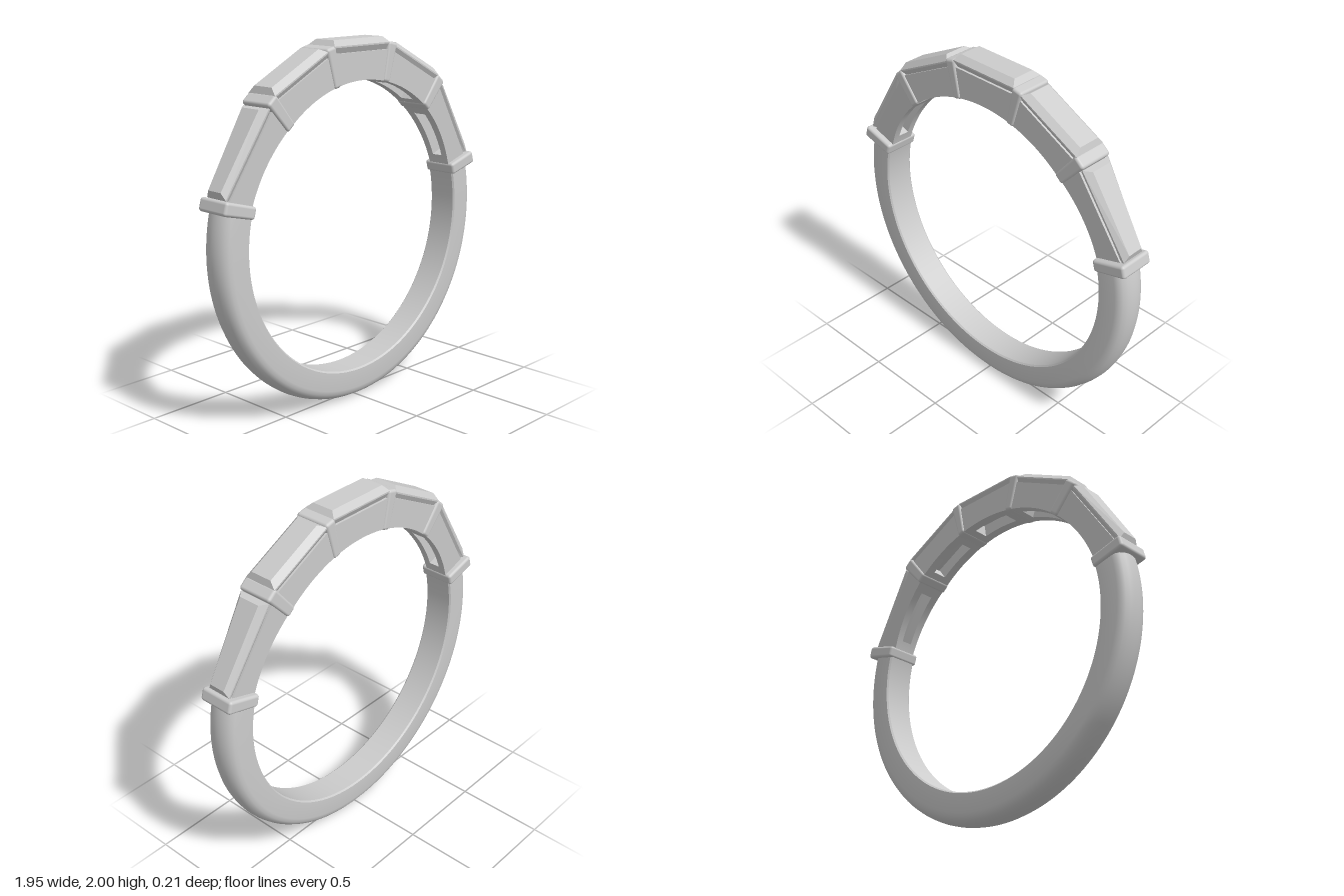
import * as THREE from 'three';
import { toCreasedNormals } from 'three/addons/utils/BufferGeometryUtils.js';
import { RoundedBoxGeometry } from 'three/addons/geometries/RoundedBoxGeometry.js';

const CENTRE = 0.977, INNER = 0.805;
const rad = THREE.MathUtils.degToRad;

// Moves every vertex by a rule
function reshape(geo, rule) {
  const p = geo.attributes.position, v = new THREE.Vector3();
  for (let i = 0; i < p.count; i++) {
    rule(v.fromBufferAttribute(p, i));
    p.setXYZ(i, v.x, v.y, v.z);
  }
  return geo;
}

// Block between two angles: curved inside, straight outside at height h
function wedge(a0, a1, h, z0, z1, widthAt) {
  const s = new THREE.Shape(), n = 16;
  for (let i = 0; i <= n; i++) {
    const a = a0 + (a1 - a0) * i / n;
    const x = INNER * Math.sin(a), y = INNER * Math.cos(a);
    if (i) s.lineTo(x, y); else s.moveTo(x, y);
  }
  s.lineTo(h * Math.tan(a1), h);
  s.lineTo(h * Math.tan(a0), h);
  s.closePath();
  const g = new THREE.ExtrudeGeometry(s, { depth: z1 - z0, bevelEnabled: false });
  g.translate(0, 0, z0);
  reshape(g, v => { v.z *= widthAt(v.x); });
  return toCreasedNormals(g, rad(25));
}

// Step-cut stone from stacked rectangles [height, half length, half width]
function stoneGeometry(levels, widthAt) {
  const pos = [], idx = [];
  for (const [y, l, w] of levels)
    for (const [sx, sz] of [[-1, 1], [1, 1], [1, -1], [-1, -1]])
      pos.push(sx * l, y, sz * w * widthAt(sx * l));
  for (let k = 0; k < levels.length - 1; k++)
    for (let i = 0; i < 4; i++) {
      const a = k * 4 + i, b = k * 4 + (i + 1) % 4;
      idx.push(a, b, b + 4, a, b + 4, a + 4);
    }
  const t = (levels.length - 1) * 4;
  idx.push(t, t + 1, t + 2, t, t + 2, t + 3, 0, 2, 1, 0, 3, 2);
  const g = new THREE.BufferGeometry();
  g.setAttribute('position', new THREE.Float32BufferAttribute(pos, 3));
  g.setIndex(idx);
  const flat = g.toNonIndexed();
  flat.computeVertexNormals();
  return flat;
}

export function createModel() {
  const metal = new THREE.MeshStandardMaterial({ color: 0xcccccc });
  metal.name = 'silver';
  const model = new THREE.Group();
  model.name = 'ring';
  const add = (parent, name, geo) => {
    const m = new THREE.Mesh(geo, metal);
    m.name = name;
    parent.add(m);
    return m;
  };

  // Shank: domed band round the lower part
  const half = [[0.805, 0.079], [0.813, 0.0875], [0.915, 0.0875], [0.937, 0.083],
    [0.956, 0.069], [0.969, 0.045], [0.975, 0.022]];
  const profile = [
    ...half.map(([r, z]) => new THREE.Vector2(r, -z)),
    new THREE.Vector2(0.977, 0),
    ...half.slice().reverse().map(([r, z]) => new THREE.Vector2(r, z)),
    new THREE.Vector2(0.805, -0.079)
  ];
  const band = new THREE.LatheGeometry(profile, 128, rad(74.5), rad(211));
  band.rotateX(-Math.PI / 2);
  add(model, 'shank', toCreasedNormals(band, rad(35))).position.y = CENTRE;

  // Settings: centre angle, half angle, wall height, table height, stone half length, narrow end width
  const settings = [
    [0, 13.5, 0.955, 1.023, 0.212, 1, 0],
    [27, 13.5, 0.95, 1.012, 0.208, 1, 1], [-27, 13.5, 0.95, 1.012, 0.208, 1, -1],
    [57.5, 17, 0.925, 0.983, 0.25, 0.7, 1], [-57.5, 17, 0.925, 0.983, 0.25, 0.7, -1]
  ];
  for (const [angle, spread, h, top, len, narrow, side] of settings) {
    const g = new THREE.Group();
    g.name = 'setting';
    g.position.y = CENTRE;
    g.rotation.z = -rad(angle);
    model.add(g);
    const a = rad(spread), reach = h * Math.tan(a);
    const widthAt = x => 0.094 * THREE.MathUtils.lerp(1, narrow, (1 + side * x / reach) / 2);

    // Side walls, with an open window between them on the inside
    add(g, 'frontWall', wedge(-a, a, h, 0.45, 1, widthAt));
    add(g, 'backWall', wedge(-a, a, h, -1, -0.45, widthAt));
    add(g, 'windowEnd', wedge(-a, -a * 0.65, 0.88, -0.46, 0.46, widthAt));
    add(g, 'windowEnd', wedge(a * 0.65, a, 0.88, -0.46, 0.46, widthAt));

    // Stone
    add(g, 'stone', stoneGeometry([
      [0.865, len * 0.8, 0.35], [top - 0.038, len, 1.03],
      [top - 0.03, len, 1.03], [top, len - 0.025, 0.68]
    ], widthAt));
  }

  // Bars between the stones: angle, outer radius, outer width, inner width
  for (const [angle, outer, wide, slim] of [[13.5, 1.018, 0.068, 0.046], [40.5, 1.005, 0.075, 0.06], [74.5, 1.003, 0.072, 0.066]])
    for (const s of [1, -1]) {
      const length = outer - 0.8;
      const geo = new RoundedBoxGeometry(wide, length, 0.206, 3, 0.016);
      reshape(geo, v => { v.x *= THREE.MathUtils.lerp(slim / wide, 1, v.y / length + 0.5); });
      geo.translate(0, 0.8 + length / 2, 0);
      const bar = add(model, 'bar', geo);
      bar.position.y = CENTRE;
      bar.rotation.z = -s * rad(angle);
    }
  return model;
}
